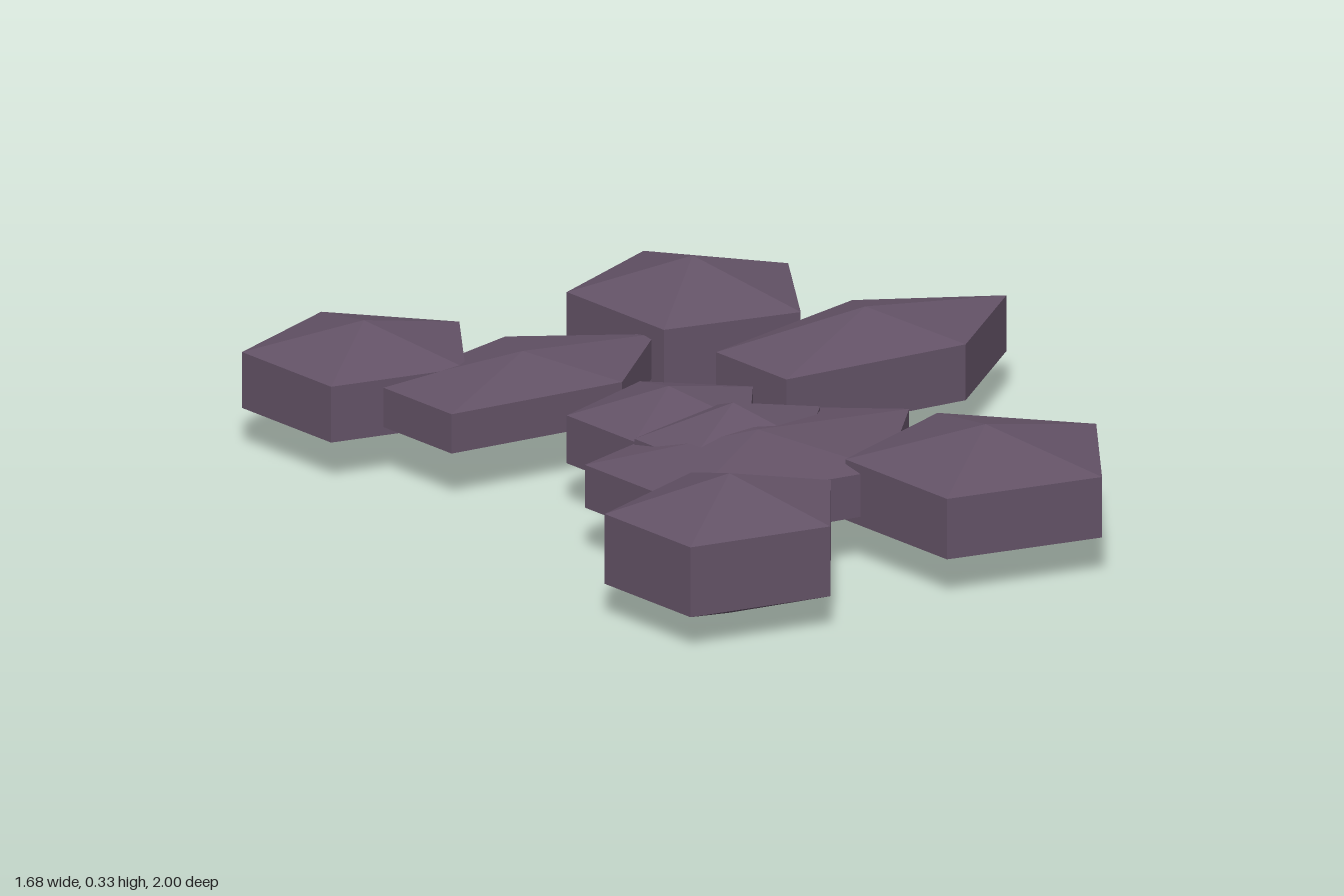
import * as THREE from 'three';

// Each stone: centre x, centre z, ring radius x, ring radius z, half height
const STONES = [
  [-0.494, -0.75, 0.279, 0.263, 0.132],
  [-0.285, -0.447, 0.387, 0.213, 0.093],
  [0.296, -0.548, 0.279, 0.2865, 0.162],
  [0.423, -0.1, 0.412, 0.207, 0.132],
  [-0.226, -0.011, 0.246, 0.2, 0.113],
  [-0.224, 0.21, 0.254, 0.168, 0.132],
  [-0.242, 0.317, 0.442, 0.298, 0.101],
  [-0.601, 0.645, 0.296, 0.253, 0.165],
  [0.092, 0.71, 0.323, 0.3, 0.143],
];
const MID_Y = 0.167;
const RING = Math.sin(Math.PI / 3); // ring radius of the unit stone

export function createModel() {
  const group = new THREE.Group();
  group.name = 'stoneCluster';
  const stoneMaterial = new THREE.MeshStandardMaterial({ color: 0x635266, flatShading: true });
  stoneMaterial.name = 'dusky purple stone';

  // Five-sided faceted stone with one corner pointing to +x
  const geometry = new THREE.SphereGeometry(1, 5, 3, Math.PI);

  STONES.forEach(([x, z, rx, rz, h], i) => {
    const stone = new THREE.Mesh(geometry, stoneMaterial);
    stone.name = `stone${i + 1}`;
    stone.position.set(x, MID_Y, z);
    stone.scale.set(rx / RING, h, rz / RING);
    group.add(stone);
  });
  return group;
}
